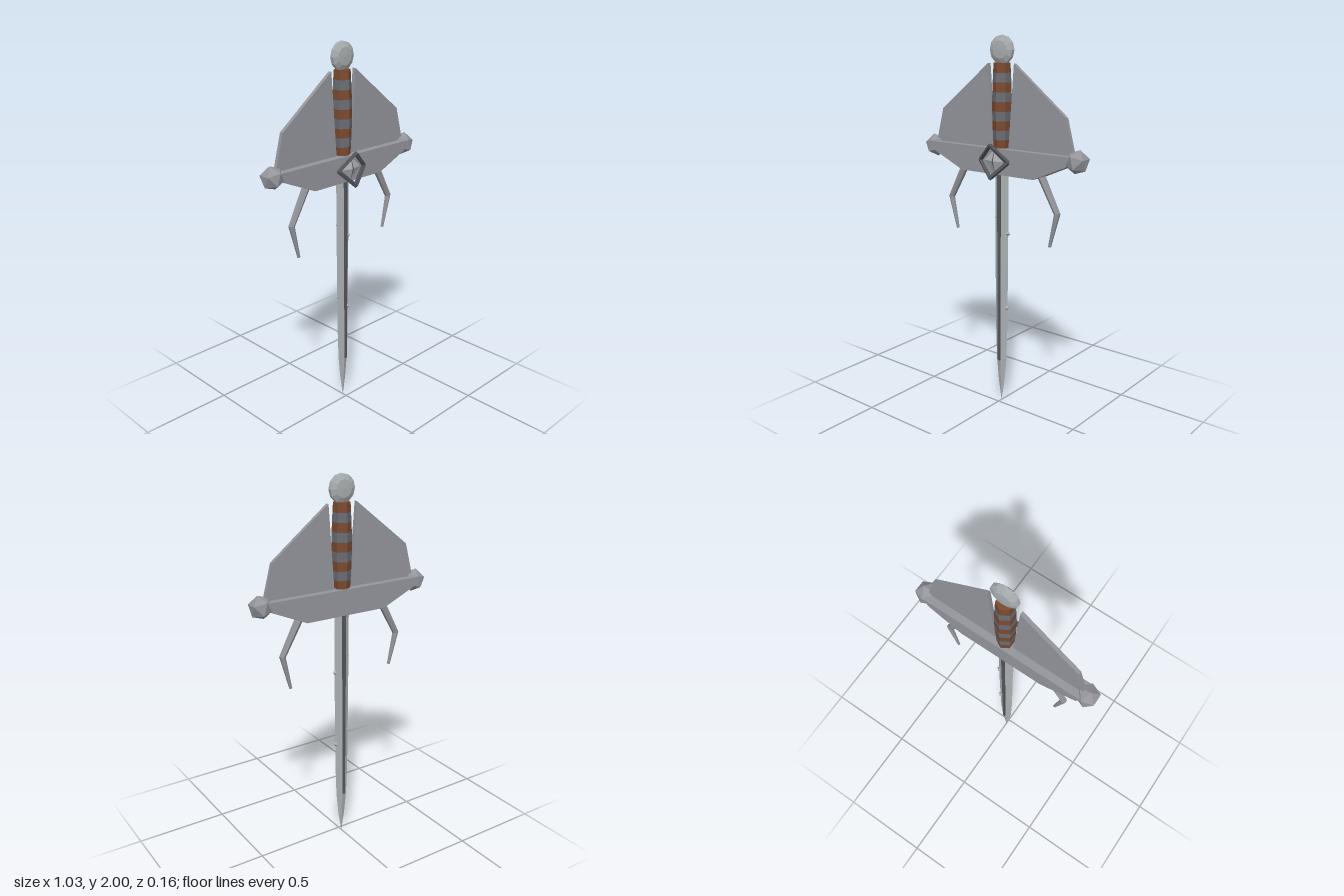
import * as THREE from 'three';

const mat = (name, color) => {
  const m = new THREE.MeshStandardMaterial({ color, flatShading: true });
  m.name = name;
  return m;
};

export function createModel() {
  const steel = mat('steel', 0x93959b);
  const paleSteel = mat('pale steel', 0xa9aeb0);
  const darkSteel = mat('dark steel', 0x54565c);
  const wrapGrey = mat('grey wrap', 0x6a6c74);
  const leather = mat('brown leather', 0x7a4a30);

  const group = new THREE.Group();
  const sword = new THREE.Group();
  sword.name = 'sword';
  sword.position.z = -0.027;
  group.add(sword);

  const add = (name, geo, material, x = 0, y = 0, z = 0) => {
    const m = new THREE.Mesh(geo, material);
    m.name = name;
    m.position.set(x, y, z);
    sword.add(m);
    return m;
  };

  // Flat plate cut from an outline, centred in depth
  const plate = (pts, depth) => {
    const shape = new THREE.Shape(pts.map(p => new THREE.Vector2(...p)));
    return new THREE.ExtrudeGeometry(shape, { depth, bevelEnabled: false }).translate(0, 0, -depth / 2);
  };

  // Tapered bar between two points
  const bar = (name, a, b, ra, rb, sides, material) => {
    const p = new THREE.Vector3(...a), q = new THREE.Vector3(...b);
    const d = q.clone().sub(p);
    const m = add(name, new THREE.CylinderGeometry(rb, ra, d.length(), sides), material);
    m.position.copy(p).add(q).multiplyScalar(0.5);
    m.quaternion.setFromUnitVectors(new THREE.Vector3(0, 1, 0), d.normalize());
  };

  // Blade: diamond section, rows of [y, half width, half thickness]
  const rows = [[1.32, 0.045, 0.02], [0.8, 0.043, 0.018], [0.42, 0.039, 0.015],
    [0.25, 0.033, 0.012], [0.12, 0.02, 0.007], [0, 0.0005, 0.0005]];
  const blade = new THREE.CylinderGeometry(1, 1, 1, 4, rows.length - 1);
  const pos = blade.attributes.position;
  for (let i = 0; i < pos.count; i++) {
    const [y, w, t] = rows[Math.round((0.5 - pos.getY(i)) * (rows.length - 1))];
    pos.setXYZ(i, pos.getX(i) * w, y, pos.getZ(i) * t);
  }
  add('blade', blade, paleSteel);

  // Dark ribs standing just off both faces of the blade
  for (const s of [1, -1]) {
    add('bladeRib', plate([[-0.01, 1.31], [-0.006, 0.25], [0.006, 0.25], [0.01, 1.31]], 0.008),
      darkSteel, 0, 0, s * 0.024);
  }

  // Small thorns along the edges
  for (const [x, y, r] of [[0.04, 0.98, 0.015], [0.035, 0.56, 0.016], [-0.041, 1.06, 0.008], [-0.036, 0.635, 0.009]]) {
    add('thorn', new THREE.OctahedronGeometry(r), paleSteel, x, y, 0);
  }

  // Crossguard
  add('crossguard', plate([[-0.45, 1.435], [-0.43, 1.385], [-0.235, 1.3], [0.235, 1.3],
    [0.43, 1.385], [0.45, 1.435]], 0.097), steel);

  for (const s of [1, -1]) {
    // Wing plate beside the grip
    const outline = [[0.05, 1.43], [0.45, 1.43], [0.4, 1.615], [0.083, 1.862]].map(([x, y]) => [x * s, y]);
    add('wing', plate(outline, 0.02), steel);
    // Faceted knob on the guard end
    const knob = add('guardKnob', new THREE.IcosahedronGeometry(0.062), steel, s * 0.465, 1.408, 0);
    knob.rotation.z = s * 0.3;
    // Bent prong under the guard
    bar('upperProng', [s * 0.25, 1.32, 0], [s * 0.355, 1.13, 0], 0.021, 0.016, 6, steel);
    bar('lowerProng', [s * 0.355, 1.138, 0], [s * 0.311, 0.955, 0], 0.016, 0.008, 6, steel);
  }

  // Wrapped grip in alternating bands with a slight swell
  const bands = 9, low = 1.43, high = 1.865, step = (high - low) / bands;
  const gripRadius = t => 0.043 + 0.008 * Math.sin(Math.PI * t);
  for (let i = 0; i < bands; i++) {
    add('gripBand', new THREE.CylinderGeometry(gripRadius((i + 1) / bands), gripRadius(i / bands), step, 6),
      i % 2 ? wrapGrey : leather, 0, low + step * (i + 0.5), 0);
  }

  // Lens-shaped disc pommel
  const lens = [[0, -0.025], [0.045, -0.022], [0.072, -0.009], [0.072, 0.009], [0.045, 0.022], [0, 0.025]];
  add('pommel', new THREE.LatheGeometry(lens.map(p => new THREE.Vector2(...p)), 12).rotateX(Math.PI / 2),
    paleSteel, 0, 1.929, 0);

  // Saddle-bent diamond frame on the front of the guard
  const corners = [[0, 1.457, 0.097], [0.09, 1.373, 0.066], [0, 1.289, 0.097], [-0.09, 1.373, 0.066]];
  corners.forEach((c, i) => {
    bar('emblemFrame', c, corners[(i + 1) % 4], 0.012, 0.012, 4, darkSteel);
    add('emblemCorner', new THREE.OctahedronGeometry(0.013), darkSteel, ...c);
  });

  // Jewel in the frame with a dark upright sliver
  add('jewel', new THREE.OctahedronGeometry(1).scale(0.068, 0.06, 0.02), paleSteel, 0, 1.373, 0.06);
  add('jewelSliver', new THREE.OctahedronGeometry(1).scale(0.013, 0.062, 0.025), darkSteel, 0, 1.373, 0.06);

  return group;
}
